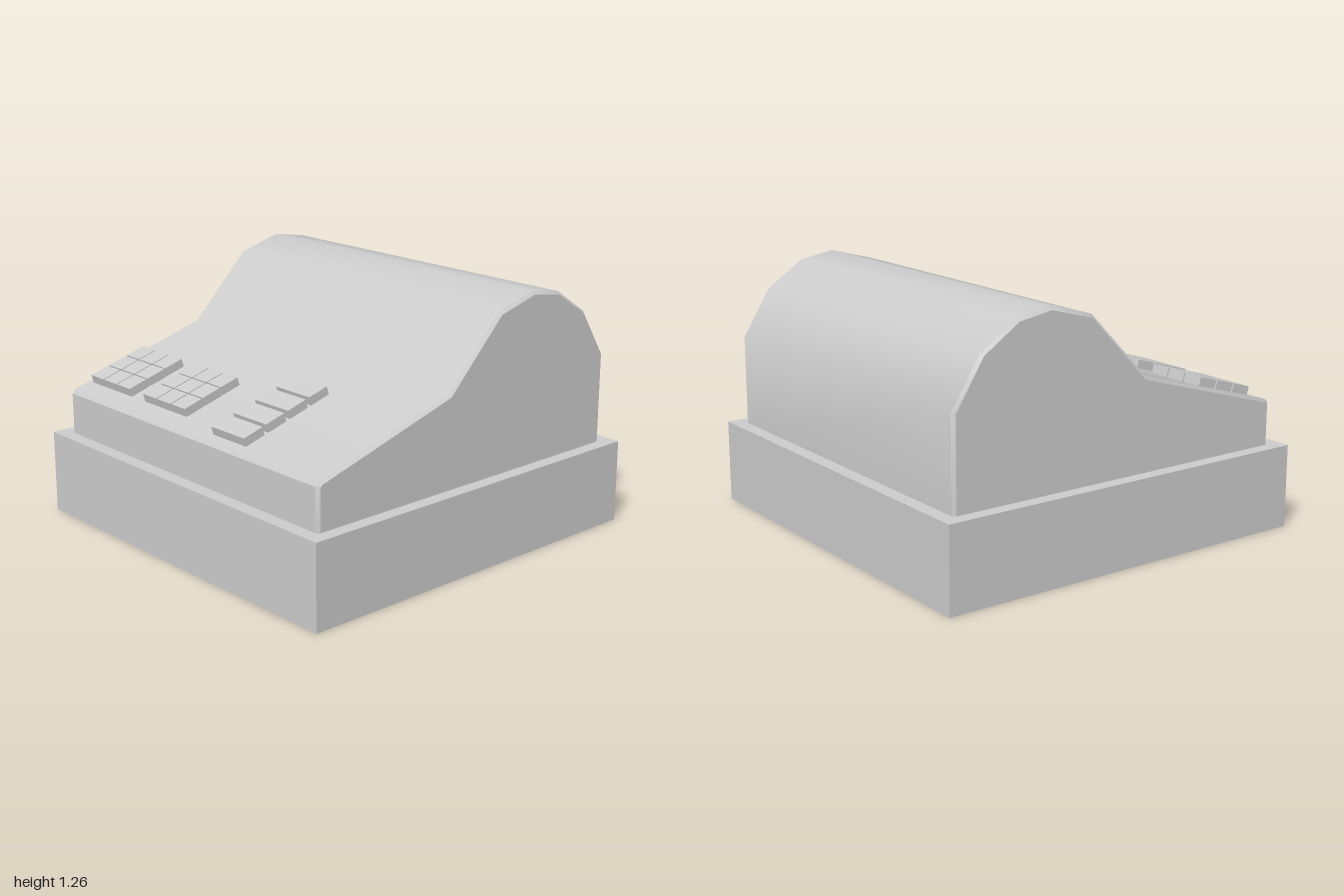
import * as THREE from 'three';
import { toCreasedNormals } from 'three/addons/utils/BufferGeometryUtils.js';

const grey = () => new THREE.MeshStandardMaterial({ color: 0xcccccc });

function box(name, w, h, d, x, y, z) {
  const mesh = new THREE.Mesh(new THREE.BoxGeometry(w, h, d), grey());
  mesh.name = name;
  mesh.position.set(x, y, z);
  return mesh;
}

// Side profile of the housing as [z, y]: keyboard slope, then faceted hump
const PROFILE = [
  [0.93, 0.39], [0.93, 0.622], [0.915, 0.642], [0.14, 0.868], [-0.18, 1.195],
  [-0.41, 1.257], [-0.59, 1.227], [-0.78, 1.1], [-0.93, 0.865], [-0.93, 0.39],
];

function makeHousing() {
  const width = 1.865, bevel = 0.015;
  const shape = new THREE.Shape(PROFILE.map(([z, y]) => new THREE.Vector2(z, y)));
  let geometry = new THREE.ExtrudeGeometry(shape, {
    depth: width - 2 * bevel, bevelEnabled: true, bevelSegments: 1,
    bevelThickness: bevel, bevelSize: bevel, bevelOffset: -bevel,
  });
  geometry.translate(0, 0, bevel - width / 2);
  geometry.rotateY(-Math.PI / 2);
  // Hump blends smoothly, front lip and side edges stay crisp
  geometry = toCreasedNormals(geometry, 0.61);
  const mesh = new THREE.Mesh(geometry, grey());
  mesh.name = 'housing';
  return mesh;
}

// Keys laid out on the slope; local -z runs up the slope from the front lip
function makeKeys(name, x0, s0, cols, rows, w, d, stepX, stepS) {
  const group = new THREE.Group();
  group.name = name;
  for (let r = 0; r < rows; r++) {
    for (let c = 0; c < cols; c++) {
      group.add(box('key', w, 0.05, d, x0 + c * stepX, 0.018, -(s0 + r * stepS)));
    }
  }
  return group;
}

export function createModel() {
  const model = new THREE.Group();
  model.name = 'cashRegister';

  // Drawer base
  model.add(box('drawerBase', 2, 0.415, 2, 0, 0.2075, 0));
  model.add(makeHousing());

  // Keyboard
  const keyboard = new THREE.Group();
  keyboard.name = 'keyboard';
  keyboard.position.set(0, 0.6376, 0.93);
  keyboard.rotation.x = Math.atan2(0.868 - 0.642, 0.915 - 0.14);
  for (const x of [-0.827, -0.385]) {
    keyboard.add(makeKeys('numberPad', x, 0.16, 3, 3, 0.105, 0.105, 0.1125, 0.113));
  }
  keyboard.add(makeKeys('functionKeys', 0.27, 0.116, 1, 4, 0.235, 0.112, 0, 0.134));
  model.add(keyboard);

  return model;
}
